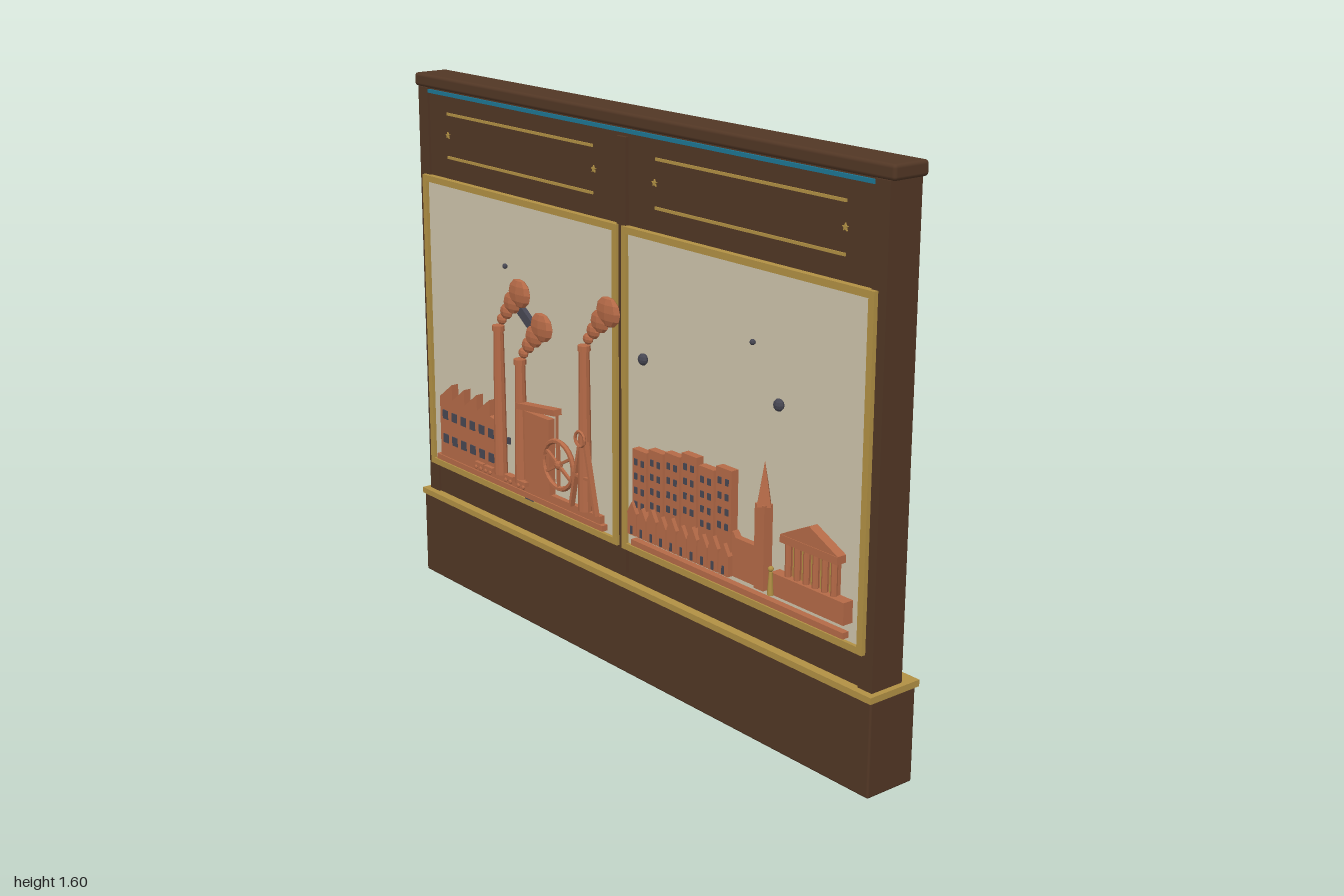
import * as THREE from 'three';
import { RoundedBoxGeometry } from 'three/addons/geometries/RoundedBoxGeometry.js';

const material = (name, color, flat = false) => {
  const m = new THREE.MeshStandardMaterial({ color, flatShading: flat });
  m.name = name;
  return m;
};

export function createModel() {
  const wood = material('dark wood', 0x523725);
  const gold = material('brass', 0xb29144);
  const cream = material('cream panel', 0xcfc5ac);
  const copper = material('copper', 0xb56a47, true);
  const slate = material('slate', 0x474753, true);
  const blue = material('blue strip', 0x1d7795);
  const model = new THREE.Group();
  model.name = 'reliefWall';

  const group = (name, parent = model) => {
    const g = new THREE.Group();
    g.name = name;
    parent.add(g);
    return g;
  };
  const add = (name, geo, mat, parent = model) => {
    const m = new THREE.Mesh(geo, mat);
    m.name = name;
    parent.add(m);
    return m;
  };
  // Box given by its limits on each axis
  const box = (name, x0, x1, y0, y1, z0, z1, mat, parent) => {
    const m = add(name, new THREE.BoxGeometry(x1 - x0, y1 - y0, z1 - z0), mat, parent);
    m.position.set((x0 + x1) / 2, (y0 + y1) / 2, (z0 + z1) / 2);
    return m;
  };
  const rounded = (name, x0, x1, y0, y1, z0, z1, r, mat) => {
    const m = add(name, new RoundedBoxGeometry(x1 - x0, y1 - y0, z1 - z0, 2, r), mat);
    m.position.set((x0 + x1) / 2, (y0 + y1) / 2, (z0 + z1) / 2);
  };
  // Flat outline pushed out from z0 to z1
  const plate = (name, points, z0, z1, mat, parent) => {
    const shape = new THREE.Shape(points.map(([x, y]) => new THREE.Vector2(x, y)));
    const m = add(name, new THREE.ExtrudeGeometry(shape, { depth: z1 - z0, bevelEnabled: false }), mat, parent);
    m.position.z = z0;
    return m;
  };
  // Straight bar between two points of the relief
  const bar = (name, x0, y0, x1, y1, width, z0, z1, mat, parent) => {
    const m = box(name, 0, Math.hypot(x1 - x0, y1 - y0), 0, width, z0, z1, mat, parent);
    m.position.set((x0 + x1) / 2, (y0 + y1) / 2, (z0 + z1) / 2);
    m.rotation.z = Math.atan2(y1 - y0, x1 - x0);
    return m;
  };
  const pillar = (name, x, y0, y1, z, rTop, rBottom, sides, mat, parent) => {
    const m = add(name, new THREE.CylinderGeometry(rTop, rBottom, y1 - y0, sides), mat, parent);
    m.position.set(x, (y0 + y1) / 2, z);
    return m;
  };
  const ball = (name, x, y, z, r, depth, mat, parent) => {
    const m = add(name, new THREE.SphereGeometry(r, 8, 6), mat, parent);
    m.scale.z = depth / r;
    m.position.set(x, y, z);
    return m;
  };

  // Wooden case
  rounded('plinth', -0.997, 0.997, 0, 0.264, -0.09, 0.068, 0.006, wood);
  box('plinthTrim', -1, 1, 0.262, 0.28, -0.1, 0.073, gold);
  box('backBoard', -0.95, 0.95, 0.28, 1.56, -0.046, 0.046, wood);
  rounded('cap', -1, 1, 1.56, 1.6, -0.059, 0.057, 0.01, wood);
  box('capStrip', -0.945, 0.945, 1.545, 1.556, 0.04, 0.052, blue);
  for (const s of [-1, 1]) {
    box('sidePost', Math.min(s * 0.935, s * 0.984), Math.max(s * 0.935, s * 0.984), 0.28, 1.56, -0.053, 0.053, wood);
  }
  box('centrePost', -0.02, 0.02, 0.3, 1.535, 0.04, 0.057, wood);

  // Framed panels and brass lines above them
  for (const s of [-1, 1]) {
    const bay = group(s < 0 ? 'rightBay' : 'leftBay');
    const a = Math.min(s * 0.011, s * 0.957), b = Math.max(s * 0.011, s * 0.957);
    box('panel', a + 0.01, b - 0.01, 0.385, 1.285, 0.045, 0.056, cream, bay);
    const w = 0.019;
    box('frameLow', a, b, 0.375, 0.375 + w, 0.045, 0.066, gold, bay);
    box('frameTop', a, b, 1.297 - w, 1.297, 0.045, 0.066, gold, bay);
    box('frameSide', a, a + w, 0.375 + w, 1.297 - w, 0.045, 0.066, gold, bay);
    box('frameSide', b - w, b, 0.375 + w, 1.297 - w, 0.045, 0.066, gold, bay);
    for (const y of [1.362, 1.492]) box('brassLine', s * 0.487 - 0.353, s * 0.487 + 0.353, y - 0.004, y + 0.004, 0.045, 0.05, gold, bay);
    for (const x of [0.13, 0.838]) {
      const star = Array.from({ length: 10 }, (_, i) => {
        const t = Math.PI / 2 + i * Math.PI / 5, r = i % 2 ? 0.005 : 0.011;
        return [s * x + r * Math.cos(t), 1.428 + r * Math.sin(t)];
      });
      plate('star', star, 0.045, 0.05, gold, bay);
    }
  }

  // Industrial relief
  const works = group('industryRelief');
  box('groundLow', -0.905, -0.065, 0.403, 0.42, 0.055, 0.076, copper, works);
  box('groundTop', -0.888, -0.08, 0.42, 0.443, 0.055, 0.072, copper, works);
  box('groundStud', -0.445, -0.405, 0.396, 0.403, 0.055, 0.07, slate, works);
  const saw = [[-0.875, 0.443], [-0.58, 0.443], [-0.58, 0.61]];
  for (let i = 3; i >= 0; i--) saw.push([-0.808 + i * 0.067, 0.615], [-0.808 + i * 0.067, 0.665], [-0.875 + i * 0.067, 0.615]);
  plate('factory', saw, 0.055, 0.08, copper, works);
  for (let i = 0; i < 6; i++) for (const y of [0.485, 0.562]) {
    const x = -0.845 + i * 0.049;
    box('factoryWindow', x - 0.013, x + 0.013, y - 0.014, y + 0.014, 0.079, 0.083, slate, works);
  }
  // Chimneys with growing smoke puffs
  for (const [x, top] of [[-0.565, 0.9], [-0.459, 0.82], [-0.15, 0.928]]) {
    pillar('chimney', x, 0.443, top, 0.07, 0.015, 0.021, 10, copper, works);
    pillar('chimneyRim', x, top - 0.012, top + 0.004, 0.07, 0.019, 0.019, 10, copper, works);
    [[0.021, 0.027, 0.02], [0.045, 0.055, 0.028], [0.074, 0.087, 0.04], [0.112, 0.122, 0.053]].forEach(([dx, dy, r]) => {
      const puff = ball('smoke', x + dx, top + dy, 0.072, r, 0.009 + r * 0.12, copper, works);
      puff.scale.y = 0.82;
    });
  }
  // Engine house, beam and flywheel
  box('engineHouse', -0.43, -0.312, 0.443, 0.674, 0.055, 0.078, copper, works);
  bar('engineBeam', -0.46, 0.684, -0.272, 0.706, 0.018, 0.06, 0.088, copper, works);
  bar('beamRod', -0.283, 0.7, -0.283, 0.56, 0.006, 0.066, 0.072, copper, works);
  const wheel = group('flywheel', works);
  wheel.position.set(-0.263, 0.551, 0.08);
  add('rim', new THREE.TorusGeometry(0.071, 0.008, 6, 24), copper, wheel);
  for (let i = 0; i < 3; i++) {
    const t = i * Math.PI / 3 + Math.PI / 6, c = 0.07 * Math.cos(t), d = 0.07 * Math.sin(t);
    bar('spoke', -c, -d, c, d, 0.008, -0.004, 0.004, copper, wheel);
  }
  ball('hub', 0, 0, 0, 0.015, 0.011, copper, wheel);
  // Pithead frame
  bar('headframeLeg', -0.205, 0.443, -0.155, 0.665, 0.009, 0.07, 0.086, copper, works);
  bar('headframeLeg', -0.088, 0.443, -0.14, 0.665, 0.009, 0.07, 0.086, copper, works);
  bar('headframeBrace', -0.18, 0.545, -0.113, 0.545, 0.008, 0.07, 0.086, copper, works);
  const sheave = add('headframeWheel', new THREE.TorusGeometry(0.022, 0.005, 5, 12), copper, works);
  sheave.position.set(-0.15, 0.66, 0.088);
  // Small wagons
  for (const x of [-0.655, -0.605, -0.5, -0.435]) {
    box('wagon', x - 0.021, x + 0.021, 0.443, 0.457, 0.07, 0.092, copper, works);
    for (const d of [-0.012, 0.012]) ball('wagonWheel', x + d, 0.441, 0.092, 0.007, 0.004, copper, works);
  }
  box('lampPlate', -0.544, -0.532, 0.54, 0.56, 0.055, 0.062, slate, works);

  // City relief
  const city = group('cityRelief');
  box('ground', 0.065, 0.9, 0.403, 0.42, 0.055, 0.076, copper, city);
  [0.69, 0.705, 0.715, 0.732, 0.715, 0.732].forEach((top, i) => {
    const x = 0.107 + i * 0.0695;
    box('apartment', x - 0.03, x + 0.03, 0.443, top, 0.055, 0.08, copper, city);
    for (const d of [-0.014, 0.014]) for (let r = 0; r < 4; r++) {
      const y = top - 0.035 - r * 0.041;
      box('apartmentWindow', x + d - 0.006, x + d + 0.006, y - 0.009, y + 0.009, 0.079, 0.083, slate, city);
    }
  });
  for (let i = 0; i < 10; i++) {
    const x = 0.088 + i * 0.0425, h = i % 2 ? 0.5 : 0.508;
    plate('house', [[x - 0.019, 0.443], [x + 0.019, 0.443], [x + 0.019, h], [x, h + 0.032], [x - 0.019, h]], 0.055, 0.092, copper, city);
    box('houseDoor', x - 0.004, x + 0.004, 0.447, 0.47, 0.091, 0.095, slate, city);
  }
  // Church
  plate('churchHall', [[0.42, 0.443], [0.59, 0.443], [0.59, 0.553], [0.5, 0.553], [0.49, 0.567], [0.42, 0.567]], 0.055, 0.076, copper, city);
  box('churchTower', 0.582, 0.618, 0.443, 0.675, 0.055, 0.086, copper, city);
  pillar('spire', 0.6, 0.67, 0.79, 0.07, 0, 0.026, 4, copper, city);
  // Columned hall
  const hall = group('columnedHall', city);
  box('terrace', 0.648, 0.912, 0.447, 0.507, 0.055, 0.088, copper, hall);
  box('backWall', 0.69, 0.868, 0.507, 0.6, 0.055, 0.064, copper, hall);
  box('entablature', 0.677, 0.883, 0.597, 0.618, 0.055, 0.086, copper, hall);
  plate('pediment', [[0.677, 0.618], [0.883, 0.618], [0.78, 0.668]], 0.055, 0.084, copper, hall);
  for (let i = 0; i < 6; i++) {
    const x = 0.697 + i * 0.033;
    pillar('column', x, 0.507, 0.6, 0.073, 0.009, 0.009, 8, copper, hall);
    if (i < 5) box('columnGap', x + 0.011, x + 0.022, 0.507, 0.598, 0.064, 0.068, gold, hall);
  }
  // Statue beside the terrace
  pillar('statue', 0.653, 0.447, 0.51, 0.092, 0.005, 0.009, 8, gold, city);
  ball('statueHead', 0.653, 0.518, 0.092, 0.008, 0.008, gold, city);

  // Slate birds and studs in the sky
  bar('bird', -0.458, 0.972, -0.398, 0.93, 0.03, 0.057, 0.072, slate);
  for (const x of [0.11, 0.646]) ball('stud', x, 0.948, 0.07, 0.017, 0.012, slate);
  for (const x of [-0.537, 0.537]) ball('stud', x, 1.086, 0.062, 0.008, 0.008, slate);
  return model;
}
